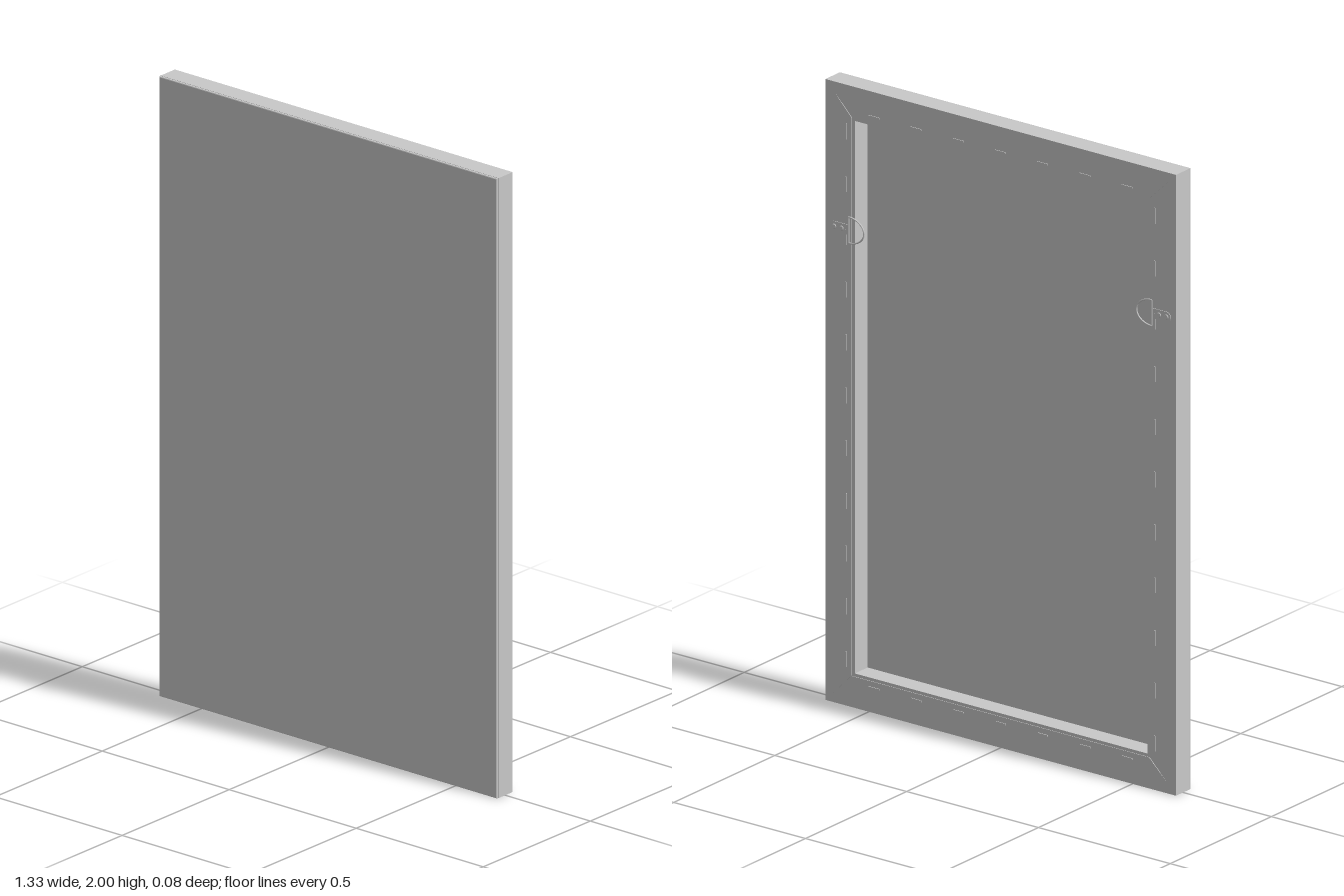
import * as THREE from 'three';

const W = 0.665, H = 1;              // half width and half height
const FRONT = 0.0395, BACK = -0.035; // faces of the stretched canvas
const BAR = 0.11;                    // width of the stretcher bars

export function createModel() {
  const model = new THREE.Group();
  model.name = 'stretchedCanvas';
  const grey = new THREE.MeshStandardMaterial({ color: 0xc8c8c8 });
  grey.name = 'canvas grey';

  const add = (parent, name, geometry, x = 0, y = 0, z = 0) => {
    const mesh = new THREE.Mesh(geometry, grey);
    mesh.name = name;
    mesh.position.set(x, y, z);
    parent.add(mesh);
    return mesh;
  };
  const polygon = (points) => new THREE.Shape(points.map(([x, y]) => new THREE.Vector2(x, y)));
  const slab = (shape, depth, bevel = 0) => new THREE.ExtrudeGeometry(shape, {
    depth: depth - 2 * bevel, bevelEnabled: bevel > 0, bevelThickness: bevel,
    bevelSize: bevel, bevelOffset: -bevel, bevelSegments: 2, curveSegments: 24,
  });

  // Front cloth with slightly softened edges
  const rim = 0.003;
  add(model, 'frontCanvas', slab(polygon([[-W, -H], [W, -H], [W, H], [-W, H]]), 0.009, rim),
    0, H, FRONT - 0.009 + rim);

  // Four mitred stretcher bars, each with the cloth folded over its back
  for (const [side, a, b, turn] of [
    ['bottom', W, H, 0], ['right', H, W, -Math.PI / 2],
    ['top', W, H, Math.PI], ['left', H, W, Math.PI / 2],
  ]) {
    const group = new THREE.Group();
    group.name = side + 'Side';
    group.position.y = H;
    group.rotation.z = turn;
    model.add(group);

    const bar = polygon([[-a, -b], [a, -b], [a - BAR, -b + BAR], [-a + BAR, -b + BAR]]);
    add(group, 'stretcherBar', slab(bar, FRONT - 0.008 - BACK - 0.002), 0, 0, BACK + 0.002);

    // Folded cloth, leaving a narrow seam on the mitre
    const w = 0.1, gap = 0.002;
    const flap = polygon([[-a, -b], [a, -b], [a - 0.03, -b + 0.03],
      [a - w - gap, -b + w], [-a + w + gap, -b + w], [-a + 0.03, -b + 0.03]]);
    add(group, 'foldedCanvas', slab(flap, 0.002), 0, 0, BACK);

    // Staples
    const count = a > b ? 11 : 7;
    const step = a > b ? 0.17 : 0.16;
    for (let i = 0; i < count; i++) {
      add(group, 'staple', new THREE.BoxGeometry(a > b ? 0.05 : 0.04, 0.005, 0.003),
        (i - (count - 1) / 2) * step, -b + 0.08, BACK - 0.001);
    }
  }

  // Hanger on each upright: strap with two screws, and a D-shaped ring
  for (const s of [-1, 1]) {
    const hanger = new THREE.Group();
    hanger.name = s > 0 ? 'leftHanger' : 'rightHanger';
    hanger.position.set(s * 0.61, 1.535, BACK);
    hanger.rotation.z = s > 0 ? 0 : Math.PI;
    model.add(hanger);

    const strap = new THREE.Shape();
    strap.moveTo(-0.035, -0.016);
    strap.lineTo(0.02, -0.016);
    strap.absarc(0.02, 0, 0.016, -Math.PI / 2, Math.PI / 2);
    strap.lineTo(-0.035, 0.016);
    add(hanger, 'strap', slab(strap, 0.002), 0, 0, -0.002);

    for (const x of [-0.008, 0.02]) {
      const screw = add(hanger, 'screwHead', new THREE.CylinderGeometry(0.008, 0.006, 0.002, 16), x, 0, -0.003);
      screw.rotation.x = Math.PI / 2;
    }

    const ring = new THREE.CurvePath();
    const arc = [];
    for (let i = 0; i <= 16; i++) {
      const t = Math.PI / 2 + (i / 16) * Math.PI;
      arc.push(new THREE.Vector3(-0.035 + 0.058 * Math.cos(t), 0.042 * Math.sin(t), 0));
    }
    ring.add(new THREE.CatmullRomCurve3(arc));
    ring.add(new THREE.LineCurve3(arc[16], arc[0]));
    add(hanger, 'ring', new THREE.TubeGeometry(ring, 64, 0.0025, 8, true), 0, 0, -0.002);
  }
  return model;
}
